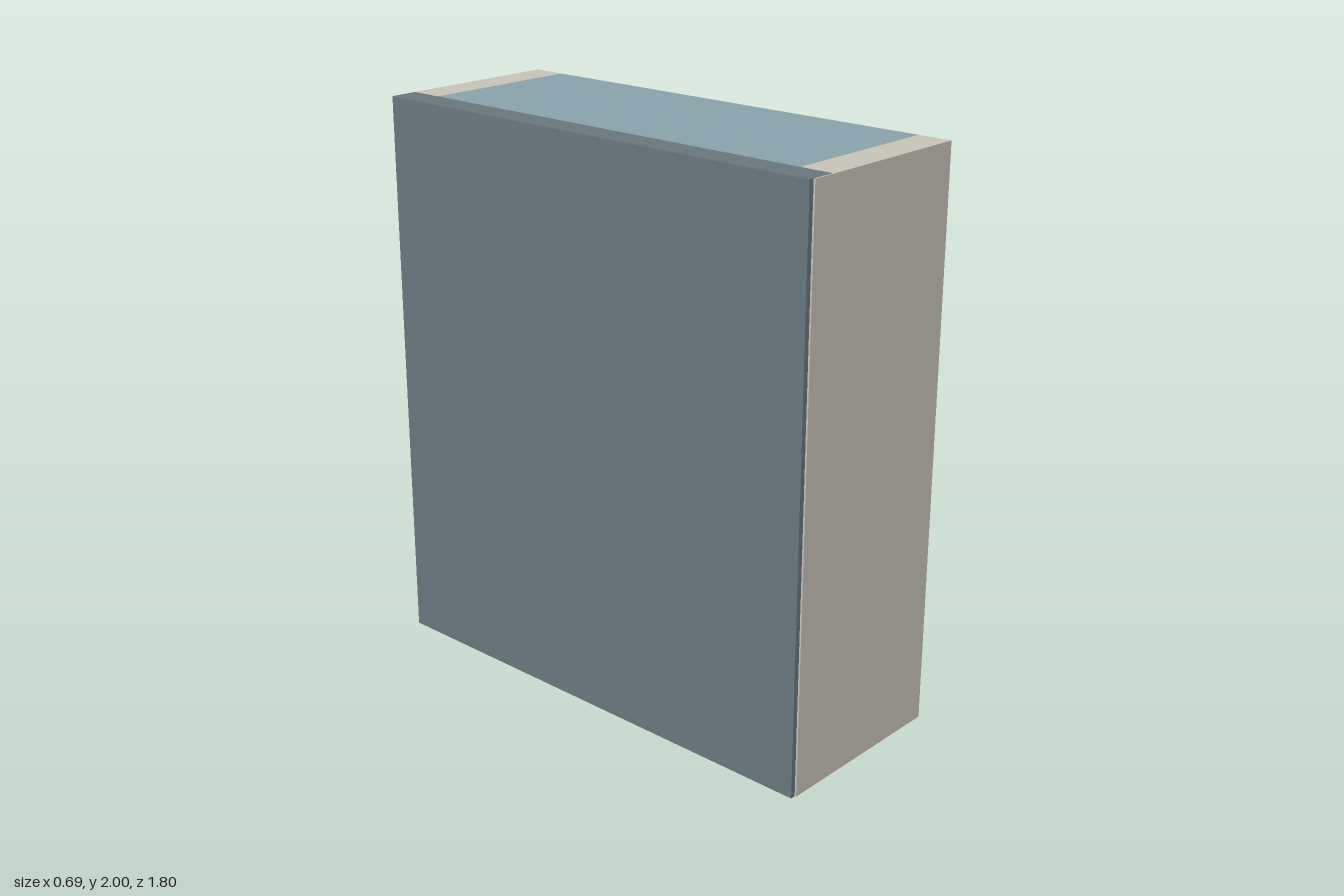
import * as THREE from 'three';

const material = (name, color) => {
  const m = new THREE.MeshStandardMaterial({ color });
  m.name = name;
  return m;
};

export function createModel() {
  const group = new THREE.Group();
  group.name = 'bookcase';
  const cream = material('cream', 0xcac5ba);
  const blue = material('dusty blue', 0x8aa4ab);
  const slate = material('slate', 0x6a797f);

  // Box given by its lower and upper corners
  const box = (name, mat, [x0, y0, z0], [x1, y1, z1]) => {
    const mesh = new THREE.Mesh(new THREE.BoxGeometry(x1 - x0, y1 - y0, z1 - z0), mat);
    mesh.position.set((x0 + x1) / 2, (y0 + y1) / 2, (z0 + z1) / 2);
    mesh.name = name;
    group.add(mesh);
  };

  // Thick back panel, let into the side panels
  box('backPanel', slate, [-0.348, 0, -0.896], [-0.247, 2, 0.896]);

  // Side panels, a hair shorter than the back so their faces never coincide
  box('leftEndPanel', cream, [-0.33, 0.001, 0.781], [0.345, 1.999, 0.902]);
  box('rightEndPanel', cream, [-0.33, 0.001, -0.902], [0.345, 1.999, -0.781]);

  // Shelves between the sides; the highest closes the top
  [['bottomShelf', 0.052, 0.197], ['middleShelf', 0.954, 1.1], ['topShelf', 1.857, 1.999]]
    .forEach(([name, y0, y1]) => box(name, blue, [-0.247, y0, -0.781], [0.345, y1, 0.781]));

  return group;
}
